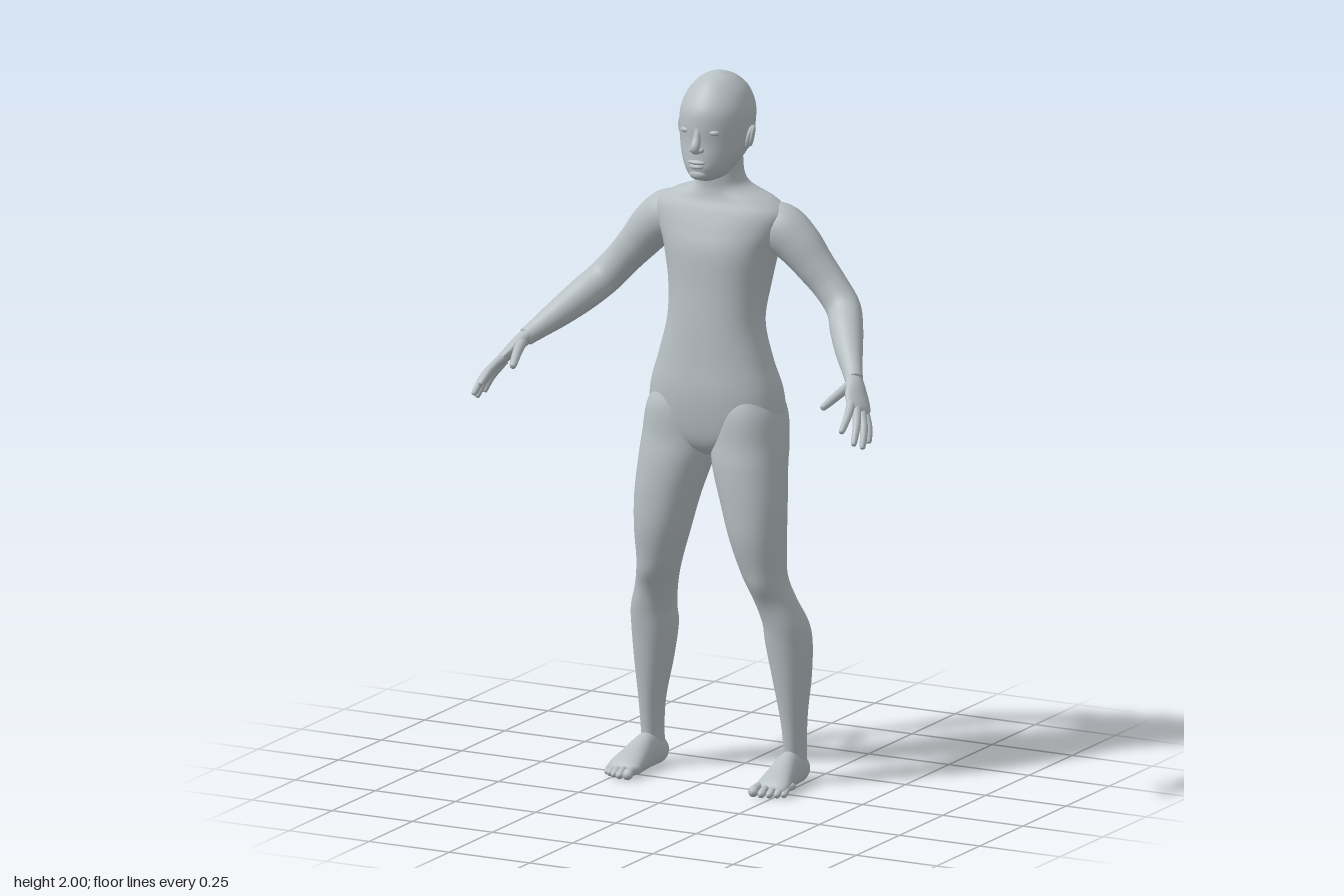
import * as THREE from 'three';

const V = (x, y, z) => new THREE.Vector3(x, y, z);
const UP = V(0, 1, 0), AHEAD = V(0, 0, 1), ACROSS = V(1, 0, 0);

// Smooth skin through elliptical sections [x, y, z, radius along side, other radius]
function loft(rows, { side = ACROSS, axis = null, seg = 28, steps = 6, power = 2 } = {}) {
  const spline = (f) => new THREE.CatmullRomCurve3(rows.map(f), false, 'catmullrom');
  const centre = spline((r) => V(r[0], r[1], r[2]));
  const radius = spline((r) => V(r[3], r[4], 0));
  const n = (rows.length - 1) * steps, pos = [], idx = [];
  const round = (c) => Math.sign(c) * Math.pow(Math.abs(c), 2 / power);
  for (let i = 0; i <= n; i++) {
    const t = i / n, c = centre.getPoint(t), r = radius.getPoint(t);
    const T = axis || centre.getTangent(t);
    const U = side.clone().addScaledVector(T, -side.dot(T)).normalize();
    const W = T.clone().cross(U);
    for (let j = 0; j < seg; j++) {
      const a = (j / seg) * Math.PI * 2;
      const p = c.clone()
        .addScaledVector(U, round(Math.cos(a)) * Math.max(r.x, 0.001))
        .addScaledVector(W, round(Math.sin(a)) * Math.max(r.y, 0.001));
      pos.push(p.x, p.y, p.z);
      if (i < n) {
        const k = i * seg, j2 = (j + 1) % seg;
        idx.push(k + j, k + j2, k + seg + j2, k + j, k + seg + j2, k + seg + j);
      }
    }
  }
  // End caps
  const first = rows[0], last = rows[rows.length - 1], e = pos.length / 3;
  pos.push(first[0], first[1], first[2], last[0], last[1], last[2]);
  for (let j = 0; j < seg; j++) {
    const j2 = (j + 1) % seg;
    idx.push(e, j2, j, e + 1, n * seg + j, n * seg + j2);
  }
  const g = new THREE.BufferGeometry();
  g.setAttribute('position', new THREE.Float32BufferAttribute(pos, 3));
  g.setIndex(idx);
  g.computeVertexNormals();
  return g;
}

// Upright sections given as [y, x min, x max, z back, z front]
const upright = (rows, opt) => loft(
  rows.map(([y, x0, x1, z0, z1]) => [(x0 + x1) / 2, y, (z0 + z1) / 2, (x1 - x0) / 2, (z1 - z0) / 2]),
  { axis: UP, ...opt });
// Same, symmetric about x = 0: [y, half width, z back, z front]
const central = (rows, opt) => upright(rows.map(([y, w, b, f]) => [y, -w, w, b, f]), opt);

function warp(g, rule) {
  const p = g.attributes.position, v = V(0, 0, 0);
  for (let i = 0; i < p.count; i++) {
    rule(v.fromBufferAttribute(p, i));
    p.setXYZ(i, v.x, v.y, v.z);
  }
  g.computeVertexNormals();
  return g;
}

// Soft bump centred on (x, y), mirrored on both sides
const bump = (v, x, y, rx, ry) =>
  Math.exp(-(((Math.abs(v.x) - x) / rx) ** 2) - ((v.y - y) / ry) ** 2);
// Fuller back of the hips, shared by torso and legs
function fillHips(v) {
  const back = THREE.MathUtils.smoothstep(-v.z, 0.06, 0.16);
  v.z -= back * (0.05 * bump(v, 0.1, 1.02, 0.075, 0.085) - 0.02 * bump(v, 0, 1.0, 0.022, 0.08));
}

function mirrored(g) {
  const m = g.clone().scale(-1, 1, 1), a = m.index.array;
  for (let i = 0; i < a.length; i += 3) [a[i], a[i + 1]] = [a[i + 1], a[i]];
  m.computeVertexNormals();
  return m;
}

function ball(x, y, z, rx, ry, rz, tiltX = 0, tiltZ = 0) {
  return new THREE.SphereGeometry(1, 24, 16).scale(rx, ry, rz).rotateX(tiltX).rotateZ(tiltZ).translate(x, y, z);
}

export function createModel() {
  const model = new THREE.Group();
  model.name = 'mannequin';
  const grey = new THREE.MeshStandardMaterial({ color: 0xb8c0c4 });
  grey.name = 'neutral grey';
  const add = (name, geo) => {
    const m = new THREE.Mesh(geo, grey);
    m.name = name;
    model.add(m);
  };
  const pair = (name, geo) => {
    add('left ' + name, geo);
    add('right ' + name, mirrored(geo));
  };

  // Torso and neck, with a groove along the spine and soft shoulder blades
  const torso = central([
    [0.925, 0.03, -0.12, -0.03], [0.95, 0.11, -0.16, 0.002], [1.0, 0.19, -0.185, 0.02],
    [1.1, 0.194, -0.2, 0.03], [1.2, 0.165, -0.185, 0.024], [1.3, 0.14, -0.183, 0.018],
    [1.4, 0.145, -0.215, 0.01], [1.5, 0.165, -0.227, 0.004], [1.56, 0.188, -0.224, -0.012],
    [1.61, 0.195, -0.212, -0.03], [1.645, 0.155, -0.198, -0.045], [1.675, 0.085, -0.185, -0.05],
    [1.71, 0.064, -0.17, -0.047], [1.78, 0.06, -0.165, -0.045],
  ], { seg: 72, power: 2.25 });
  add('torso', warp(torso, (v) => {
    fillHips(v);
    if (v.z < -0.1 && v.y > 1.08 && v.y < 1.68) {
      const fade = Math.sin(((v.y - 1.08) / 0.6) * Math.PI);
      v.z += 0.018 * fade * Math.exp(-((v.x / 0.035) ** 2));
      v.z -= 0.018 * bump(v, 0.095, 1.52, 0.05, 0.09);
    }
  }));

  // Head
  add('head', central([
    [1.705, 0.02, -0.09, -0.01], [1.718, 0.045, -0.11, 0.025], [1.745, 0.067, -0.14, 0.036],
    [1.78, 0.086, -0.178, 0.034], [1.82, 0.097, -0.2, 0.03], [1.87, 0.101, -0.212, 0.031],
    [1.91, 0.096, -0.211, 0.024], [1.95, 0.079, -0.192, -0.002], [1.98, 0.051, -0.158, -0.033],
    [1.995, 0.023, -0.12, -0.07], [2.0, 0.002, -0.097, -0.093],
  ], { seg: 40 }));
  add('nose', loft([[0, 1.865, 0.022, 0.009, 0.008], [0, 1.835, 0.031, 0.011, 0.01],
    [0, 1.81, 0.04, 0.014, 0.014], [0, 1.795, 0.034, 0.013, 0.009]], { seg: 16 }));
  pair('nostril', ball(0.013, 1.802, 0.032, 0.009, 0.008, 0.011));
  add('upper lip', ball(0, 1.767, 0.033, 0.026, 0.007, 0.011));
  add('lower lip', ball(0, 1.755, 0.033, 0.021, 0.008, 0.011));
  add('chin', ball(0, 1.732, 0.02, 0.028, 0.017, 0.018));
  pair('eyelid', ball(0.041, 1.851, 0.012, 0.019, 0.009, 0.012));
  pair('ear', ball(0.101, 1.825, -0.09, 0.01, 0.034, 0.017, -0.15, -0.2));
  pair('ear rim', new THREE.TorusGeometry(0.017, 0.004, 8, 24).scale(0.8, 1.5, 1)
    .rotateY(Math.PI / 2 + 0.3).rotateZ(-0.18).translate(0.108, 1.829, -0.091));

  // Arms, from inside the shoulder to the wrist
  pair('arm', loft([
    [0.1, 1.588, -0.135, 0.05, 0.05], [0.17, 1.566, -0.137, 0.067, 0.069],
    [0.225, 1.525, -0.14, 0.062, 0.065], [0.275, 1.47, -0.142, 0.052, 0.056],
    [0.325, 1.415, -0.142, 0.046, 0.05], [0.372, 1.362, -0.128, 0.046, 0.049],
    [0.41, 1.32, -0.075, 0.045, 0.047], [0.45, 1.278, -0.015, 0.037, 0.04],
    [0.49, 1.239, 0.04, 0.027, 0.03], [0.512, 1.218, 0.07, 0.024, 0.025],
  ], { side: AHEAD }));

  // Hands
  const palmSide = V(-0.45, 0.36, 0.81);
  pair('palm', loft([
    [0.495, 1.235, 0.047, 0.02, 0.02], [0.52, 1.21, 0.08, 0.03, 0.021],
    [0.54, 1.183, 0.107, 0.039, 0.018], [0.559, 1.16, 0.129, 0.038, 0.014],
    [0.566, 1.15, 0.138, 0.026, 0.008],
  ], { side: palmSide }));
  const fingers = {
    'index finger': [[0.54, 1.178, 0.137], [0.556, 1.15, 0.19], [0.563, 1.115, 0.241]],
    'middle finger': [[0.553, 1.168, 0.132], [0.58, 1.127, 0.183], [0.593, 1.079, 0.225]],
    'ring finger': [[0.56, 1.16, 0.119], [0.589, 1.112, 0.157], [0.602, 1.063, 0.19]],
    'little finger': [[0.56, 1.155, 0.103], [0.588, 1.11, 0.129], [0.6, 1.07, 0.15]],
    thumb: [[0.512, 1.214, 0.085], [0.499, 1.192, 0.145], [0.482, 1.166, 0.203]],
  };
  for (const [name, [a, b, c]] of Object.entries(fingers)) {
    const tip = c.map((k, i) => k - (c[i] - b[i]) * 0.13);
    const r = name === 'thumb' ? 0.013 : 0.011;
    pair(name, loft([[...a, r * 1.15, r * 1.15], [...b, r, r],
      [...tip, r * 0.75, r * 0.75], [...c, 0.002, 0.002]], { side: palmSide, seg: 12 }));
  }

  // Legs, from ankle up into the hip, with a soft knee
  pair('leg', warp(upright([
    [0.03, 0.194, 0.248, -0.172, -0.09], [0.12, 0.193, 0.251, -0.167, -0.083],
    [0.2, 0.184, 0.256, -0.168, -0.074], [0.3, 0.164, 0.266, -0.182, -0.06],
    [0.4, 0.146, 0.271, -0.184, -0.046], [0.46, 0.143, 0.266, -0.168, -0.036],
    [0.53, 0.126, 0.242, -0.138, -0.02], [0.6, 0.104, 0.224, -0.125, 0.01],
    [0.7, 0.072, 0.225, -0.131, 0.034], [0.8, 0.043, 0.225, -0.142, 0.039],
    [0.9, 0.012, 0.218, -0.165, 0.036], [0.97, 0.004, 0.212, -0.182, 0.027],
    [1.06, 0.02, 0.196, -0.18, 0.02], [1.14, 0.05, 0.15, -0.15, -0.01],
  ], { seg: 48, power: 2.15 }), (v) => {
    fillHips(v);
    if (v.z > -0.07) v.z += 0.008 * bump(v, 0.173, 0.56, 0.035, 0.045);
  }));

  // Feet, flattened along the sole
  pair('foot', warp(loft([
    [0.22, 0.035, -0.18, 0.012, 0.016], [0.22, 0.035, -0.166, 0.027, 0.033],
    [0.221, 0.042, -0.125, 0.031, 0.05], [0.223, 0.043, -0.08, 0.034, 0.054],
    [0.227, 0.033, -0.03, 0.042, 0.042], [0.231, 0.024, 0.015, 0.049, 0.028],
    [0.231, 0.018, 0.037, 0.045, 0.019], [0.231, 0.016, 0.045, 0.03, 0.01],
  ], { axis: AHEAD, power: 2.1 }), (v) => { v.y = Math.max(v.y, 0.004); }));
  const toes = [[0.196, 0.08, 0.015], [0.221, 0.079, 0.0115], [0.242, 0.071, 0.0105],
    [0.26, 0.06, 0.0105], [0.275, 0.047, 0.01]];
  toes.forEach(([x, z, r], i) => pair('toe ' + (i + 1), loft([
    [x - 0.002, 0.02, z - 0.065, r, r], [x, 0.02, z - 0.03, r * 0.9, r * 0.9],
    [x, r, z - 0.01, r, r], [x, r * 0.9, z, r * 0.3, r * 0.3],
  ], { axis: AHEAD, seg: 14 })));

  return model;
}
